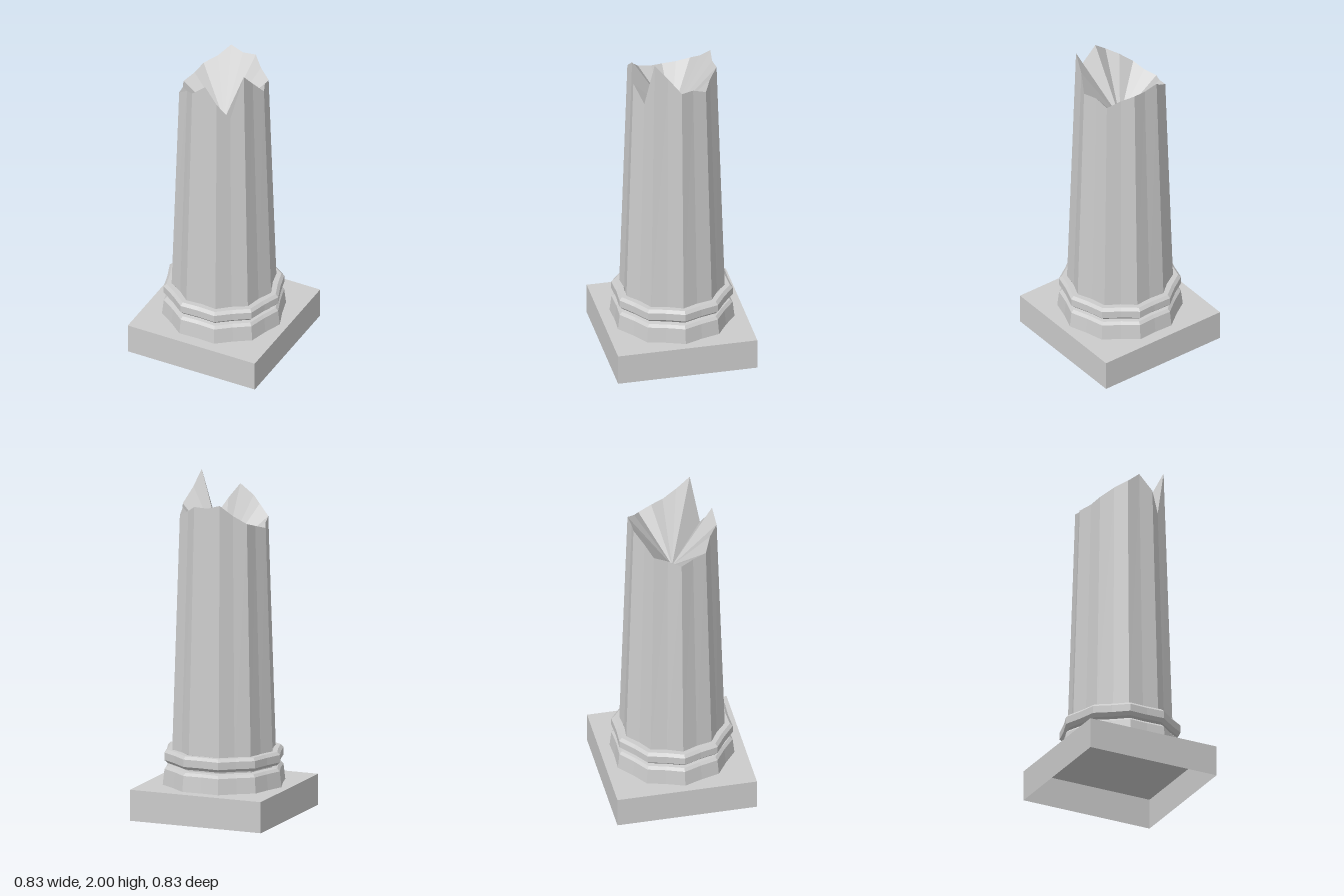
import * as THREE from 'three';

const SIDES = 20; // ten ridges alternating with ten shallow flutes
const material = new THREE.MeshStandardMaterial({ color: 0xcccccc, flatShading: true, side: THREE.DoubleSide });

// One fluted ring; radius and height may vary per corner
function ring(radius, height, flute) {
  return Array.from({ length: SIDES }, (_, i) => {
    const a = (i / SIDES) * Math.PI * 2;
    const y = typeof height === 'function' ? height(i) : height;
    const r = (typeof radius === 'function' ? radius(y) : radius) * (i % 2 ? flute : 1);
    return [r * Math.cos(a), y, r * Math.sin(a)];
  });
}

// Skin successive rings with quads
function loft(name, rings) {
  const index = [];
  for (let k = 0; k < rings.length - 1; k++) {
    for (let i = 0; i < SIDES; i++) {
      const j = (i + 1) % SIDES;
      const a = k * SIDES + i, b = k * SIDES + j;
      index.push(a, a + SIDES, b, b, a + SIDES, b + SIDES);
    }
  }
  const geometry = new THREE.BufferGeometry();
  geometry.setAttribute('position', new THREE.Float32BufferAttribute(rings.flat(2), 3));
  geometry.setIndex(index);
  geometry.computeVertexNormals();
  const mesh = new THREE.Mesh(geometry, material);
  mesh.name = name;
  return mesh;
}

export function createModel() {
  const group = new THREE.Group();
  group.name = 'brokenColumn';

  // Square plinth, hollow and open underneath
  const box = new THREE.BoxGeometry(0.83, 0.185, 0.83);
  const faces = Array.from(box.index.array);
  faces.splice(18, 6);
  box.setIndex(faces);
  box.clearGroups();
  const plinth = new THREE.Mesh(box, material);
  plinth.name = 'plinth';
  plinth.position.y = 0.0925;
  group.add(plinth);

  // Base mouldings: lower drum, groove, upper collar
  const profile = [
    [0.365, 0.185], [0.354, 0.278], [0.338, 0.294], [0.305, 0.298], [0.305, 0.308],
    [0.335, 0.313], [0.355, 0.332], [0.355, 0.376], [0.338, 0.393], [0.308, 0.393],
  ];
  group.add(loft('baseMoulding', profile.map(([r, y]) => ring(r, y, 0.938))));

  // Tapered shaft with a jagged rim
  const rim = [
    1.82, 1.91, 2.0, 1.71, 1.82, 1.915, 1.85, 1.815, 1.755, 1.735,
    1.72, 1.745, 1.77, 1.82, 1.885, 1.86, 1.865, 1.825, 1.785, 1.815,
  ];
  const taper = (y) => 0.308 - 0.0325 * (y - 0.393);
  const top = ring(taper, (i) => rim[i], 0.92);
  group.add(loft('shaft', [ring(taper, 0.393, 0.925), top]));

  // Broken surface sinking to the middle
  group.add(loft('brokenTop', [top, ring(0, 1.53, 1)]));

  return group;
}
